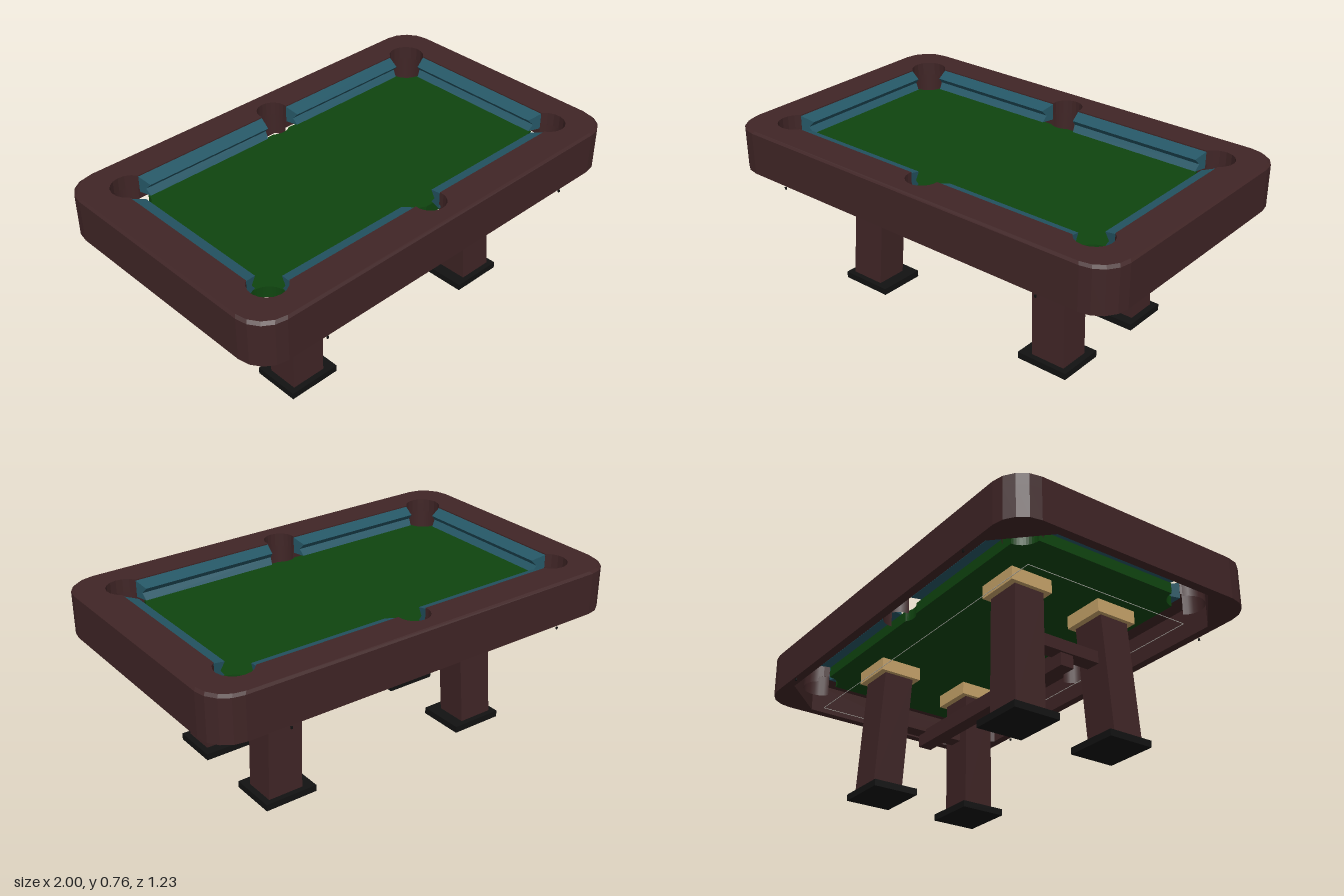
import * as THREE from 'three';

const mat = (name, color, side = THREE.FrontSide) => {
  const m = new THREE.MeshStandardMaterial({ color, side });
  m.name = name;
  return m;
};

// pocket centres and radii
const CORNER = { x: 0.8, z: 0.425, r: 0.08 };
const SIDE = { z: 0.475, r: 0.07 };

function arc(cx, cy, r, a, b, n) {
  const pts = [];
  for (let i = 0; i <= n; i++) {
    const t = a + ((b - a) * i) / n;
    pts.push(new THREE.Vector2(cx + r * Math.cos(t), cy + r * Math.sin(t)));
  }
  return pts;
}

// mirrors a quarter outline (x axis to y axis) into a full closed loop
function fullLoop(quarter) {
  const flipped = quarter.map(p => new THREE.Vector2(-p.x, p.y)).reverse();
  if (Math.abs(flipped[0].x) < 1e-6) flipped.shift();
  const half = [...quarter, ...flipped];
  return [...half, ...half.map(p => new THREE.Vector2(-p.x, -p.y))];
}

// rectangle whose edge follows the six pocket circles
function pocketLoop(hx, hz) {
  const z1 = -Math.sqrt(CORNER.r ** 2 - (hx - CORNER.x) ** 2);
  const x2 = -Math.sqrt(CORNER.r ** 2 - (hz - CORNER.z) ** 2);
  const a1 = Math.atan2(z1, hx - CORNER.x);
  const a2 = Math.atan2(hz - CORNER.z, x2);
  const dz = hz - SIDE.z;
  const a3 = Math.atan2(dz, Math.sqrt(SIDE.r ** 2 - dz * dz));
  const out = hx > 0.82 ? 1 : -1;
  return fullLoop([
    ...arc(CORNER.x, CORNER.z, CORNER.r, a1, a2, 10),
    ...arc(0, SIDE.z, SIDE.r, a3, (out * Math.PI) / 2, 6),
  ]);
}

// slab hanging down from height top
function slab(outer, hole, top, depth, steps = 1) {
  const shape = new THREE.Shape(outer);
  if (hole) shape.holes.push(new THREE.Path(hole));
  const g = new THREE.ExtrudeGeometry(shape, { depth, steps, bevelEnabled: false });
  g.rotateX(Math.PI / 2);
  g.translate(0, top, 0);
  return g;
}

export function createModel() {
  const group = new THREE.Group();
  const wood = mat('dark wood', 0x402526, THREE.DoubleSide);
  const felt = mat('green felt', 0x0f450f);
  const cushionMat = mat('blue cushion cloth', 0x255766);
  const black = mat('black feet', 0x121212);
  const tan = mat('pale wood', 0xc8a46a);
  const grey = mat('pale line', 0xbfbfb8);

  const add = (name, geo, material, x = 0, y = 0, z = 0) => {
    const mesh = new THREE.Mesh(geo, material);
    mesh.name = name;
    mesh.position.set(x, y, z);
    group.add(mesh);
    return mesh;
  };
  const box = (name, w, h, d, material, x, y, z) =>
    add(name, new THREE.BoxGeometry(w, h, d), material, x, y, z);

  // top rail with pocket cut-outs and a slightly bevelled outer edge
  const outline = fullLoop(arc(0.87, 0.485, 0.13, 0, Math.PI / 2, 4));
  const railGeo = slab(outline, pocketLoop(0.845, 0.465), 0.76, 0.06, 6);
  const p = railGeo.attributes.position;
  for (let i = 0; i < p.count; i++) {
    const x = p.getX(i), z = p.getZ(i);
    if (p.getY(i) > 0.759 && (Math.abs(x) > 0.89 || Math.abs(z) > 0.57)) {
      p.setX(i, x - Math.sign(x) * 0.01);
      p.setZ(i, z - Math.sign(z) * 0.01);
    }
  }
  railGeo.computeVertexNormals();
  add('topRail', railGeo, wood);

  // hollow apron under the rail, thicker at the corners
  const inner = fullLoop([new THREE.Vector2(0.96, 0.385), new THREE.Vector2(0.77, 0.575)]);
  add('apron', slab(outline, inner, 0.7, 0.14), wood);

  // playing bed
  add('bed', slab(pocketLoop(0.8, 0.42), null, 0.68, 0.05), felt);

  // cushions: section (depth from rail, height), ends mitred toward the pockets
  const section = [[0, 0.755], [0, 0.68], [0.055, 0.68], [0.035, 0.708], [0.06, 0.735]];
  function cushion(length, mitre, x, z, turn) {
    const shape = new THREE.Shape(section.map(([d, y]) => new THREE.Vector2(d, y)));
    const g = new THREE.ExtrudeGeometry(shape, { depth: length, bevelEnabled: false });
    g.translate(0, 0, -length / 2);
    const q = g.attributes.position;
    for (let i = 0; i < q.count; i++) {
      const e = q.getZ(i);
      q.setZ(i, e - (Math.sign(e) * mitre * q.getX(i)) / 0.06);
    }
    g.computeVertexNormals();
    add('cushion', g, cushionMat, x, 0, z).rotation.y = turn;
  }
  for (const s of [-1, 1]) {
    cushion(0.716, 0.022, s * 0.845, 0, s > 0 ? Math.PI : 0);
    for (const t of [-1, 1]) {
      cushion(0.66, 0.016, t * 0.4, s * 0.465, (s * Math.PI) / 2);
    }
  }

  // pocket walls below the rail
  function pocketWall(x, z, r, halfSpan) {
    const mid = Math.atan2(x, z);
    const g = new THREE.CylinderGeometry(r, r, 0.1, 12, 1, true, mid - halfSpan, halfSpan * 2);
    add('pocketWall', g, wood, x, 0.65, z);
  }
  for (const sz of [-1, 1]) {
    pocketWall(0, sz * SIDE.z, SIDE.r, 1.6);
    for (const sx of [-1, 1]) {
      const wall = new THREE.CylinderGeometry(CORNER.r, CORNER.r, 0.1, 12, 1, true,
        Math.atan2(sx, sz) - 1.75, 3.5);
      add('pocketWall', wall, wood, sx * CORNER.x, 0.65, sz * CORNER.z);
    }
  }

  // legs splayed outward, with mounting plates and feet
  for (const sx of [-1, 1]) {
    for (const sz of [-1, 1]) {
      const g = new THREE.BoxGeometry(0.163, 0.54, 0.144);
      const q = g.attributes.position;
      for (let i = 0; i < q.count; i++) {
        const low = q.getY(i) < 0;
        q.setX(i, q.getX(i) + sx * (low ? 0.52 : 0.494));
        q.setZ(i, q.getZ(i) + sz * (low ? 0.245 : 0.222));
      }
      g.computeVertexNormals();
      add('leg', g, wood, 0, 0.3, 0);
      box('legPlate', 0.2, 0.06, 0.2, tan, sx * 0.494, 0.6, sz * 0.222);
      box('foot', 0.245, 0.03, 0.215, black, sx * 0.507, 0.015, sz * 0.234);
      box('skirtPin', 0.008, 0.01, 0.006, black, sx * 0.68, 0.548, sz * 0.612);
    }
    box('crossStretcher', 0.07, 0.055, 0.34, wood, sx * 0.505, 0.387, 0);
    // hairline frame beneath the bed
    box('underLineLong', 1.6, 0.002, 0.002, grey, 0, 0.505, sx * 0.4);
    box('underLineShort', 0.002, 0.002, 0.8, grey, sx * 0.8, 0.505, 0);
  }
  box('longStretcher', 1.06, 0.07, 0.064, wood, 0, 0.337, 0);

  return group;
}
